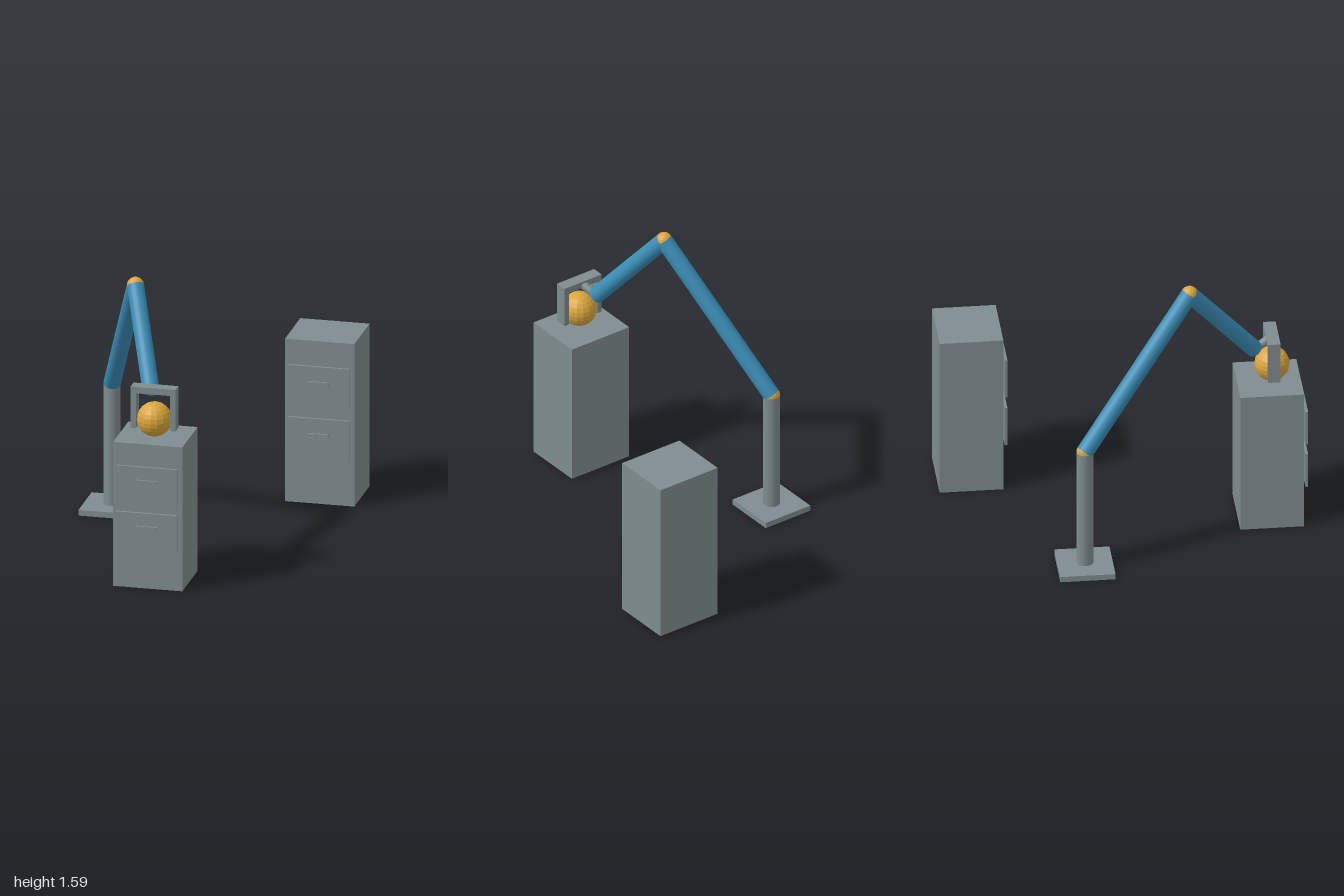
import * as THREE from 'three';

const grey = new THREE.MeshStandardMaterial({ color: 0x7f8c8f });
grey.name = 'steel grey';
const blue = new THREE.MeshStandardMaterial({ color: 0x3a8db5 });
blue.name = 'arm blue';
const gold = new THREE.MeshStandardMaterial({ color: 0xd9a43b, flatShading: true });
gold.name = 'joint gold';

function add(parent, name, geometry, material, x = 0, y = 0, z = 0) {
  const mesh = new THREE.Mesh(geometry, material);
  mesh.name = name;
  mesh.position.set(x, y, z);
  parent.add(mesh);
  return mesh;
}

const box = (w, h, d) => new THREE.BoxGeometry(w, h, d);

// Cylinder running from point a to point b
function addRod(parent, name, a, b, radius, material) {
  const dir = b.clone().sub(a);
  const mesh = add(parent, name, new THREE.CylinderGeometry(radius, radius, dir.length(), 24), material);
  mesh.position.copy(a).add(b).multiplyScalar(0.5);
  mesh.quaternion.setFromUnitVectors(new THREE.Vector3(0, 1, 0), dir.normalize());
}

// Two-drawer cabinet; drawer fronts and handles float just ahead of the body
function makeCabinet(name, x, height, front) {
  const cabinet = new THREE.Group();
  cabinet.name = name;
  cabinet.position.set(x, 0, front);
  add(cabinet, 'cabinetBody', box(0.394, height, 0.355), grey, 0, height / 2, -0.1775);
  for (const level of [0.406, 0.726]) {
    add(cabinet, 'drawerFront', box(0.347, height * 0.248, 0.015), grey, 0, height * level, 0.0175);
    add(cabinet, 'drawerHandle', box(0.117, 0.019, 0.016), grey, 0, height * (level + 0.025), 0.029);
  }
  return cabinet;
}

export function createModel() {
  const model = new THREE.Group();
  model.name = 'robotArmStation';

  model.add(makeCabinet('workCabinet', -0.062, 0.842, 0.963));
  model.add(makeCabinet('rearCabinet', 0.523, 0.951, -0.645));

  const arm = new THREE.Group();
  arm.name = 'robotArm';
  model.add(arm);
  const foot = new THREE.Vector3(-0.572, 0.033, -0.29);
  const shoulder = new THREE.Vector3(-0.572, 0.735, -0.29);
  const elbow = new THREE.Vector3(-0.288, 1.54, 0.323);
  const wrist = new THREE.Vector3(-0.105, 1.06, 0.705);
  const hand = new THREE.Vector3(-0.062, 1.112, 0.805);

  // Stand, arm sections and joints
  add(arm, 'basePlate', box(0.307, 0.033, 0.307), grey, foot.x, 0.0165, foot.z);
  addRod(arm, 'post', foot, shoulder, 0.048, grey);
  addRod(arm, 'upperArm', shoulder, elbow, 0.048, blue);
  addRod(arm, 'forearm', elbow, wrist, 0.048, blue);
  addRod(arm, 'wristLink', wrist, hand, 0.024, grey);
  for (const [name, p] of [['shoulderJoint', shoulder], ['elbowJoint', elbow]]) {
    add(arm, name, new THREE.SphereGeometry(0.048, 16, 12), gold, p.x, p.y, p.z);
  }

  // Gripper: crossbar with two mirrored fingers
  const gripper = new THREE.Group();
  gripper.name = 'gripper';
  gripper.position.set(hand.x, 0, hand.z);
  arm.add(gripper);
  add(gripper, 'gripperBar', box(0.256, 0.037, 0.07), grey, 0, 1.112, 0);
  for (const side of [-1, 1]) {
    add(gripper, 'gripperFinger', box(0.03, 0.2055, 0.07), grey, side * 0.113, 0.991, 0);
  }

  // Ball resting on the cabinet
  add(model, 'ball', new THREE.SphereGeometry(0.098, 16, 12), gold, hand.x, 0.94, hand.z);

  return model;
}
